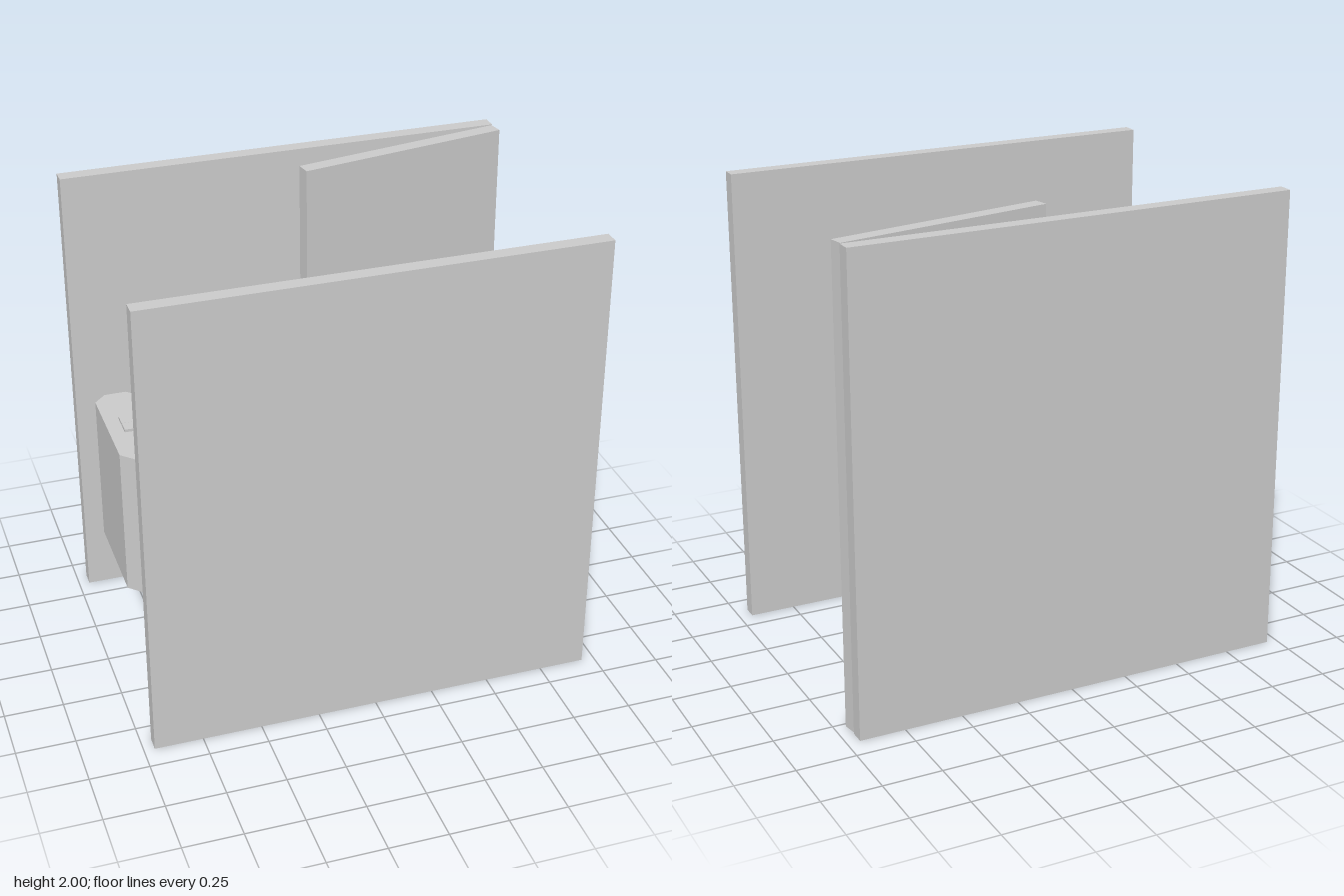
import * as THREE from 'three';
import { toCreasedNormals } from 'three/addons/utils/BufferGeometryUtils.js';

// Half of the egg-shaped outline (x, z), mirrored into a closed 12-point ring.
const HALF = [[1, 0], [0.87, 0.56], [0.5, 0.87], [0, 1], [-0.5, 0.87], [-0.8, 0.58], [-0.8, 0]];
const EGG = [...HALF, ...HALF.slice(1, -1).reverse().map(([x, z]) => [x, -z])];

// Skin through egg-shaped rings [y, radiusX, radiusZ], closed at the first ring.
function loftEgg(rings, centreX) {
  const n = EGG.length;
  const pos = [];
  const index = [];
  for (const [y, rx, rz] of rings) {
    for (const [x, z] of EGG) pos.push(centreX + x * rx, y, z * rz);
  }
  for (let i = 0; i < rings.length - 1; i++) {
    for (let j = 0; j < n; j++) {
      const k = (j + 1) % n;
      const a = i * n + j, b = i * n + k, c = a + n, d = b + n;
      index.push(a, c, b, b, c, d);
    }
  }
  for (let j = 1; j < n - 1; j++) index.push(0, j, j + 1);
  const geo = new THREE.BufferGeometry();
  geo.setAttribute('position', new THREE.Float32BufferAttribute(pos, 3));
  geo.setIndex(index);
  return toCreasedNormals(geo, 0.6);
}

function extrude(points, depth) {
  const shape = new THREE.Shape(points.map(([x, y]) => new THREE.Vector2(x, y)));
  return new THREE.ExtrudeGeometry(shape, { depth, bevelEnabled: false });
}

export function createModel() {
  const group = new THREE.Group();
  const material = new THREE.MeshStandardMaterial({ color: 0xcccccc });
  const add = (name, geo, x = 0, y = 0, z = 0) => {
    const mesh = new THREE.Mesh(geo, material);
    mesh.name = name;
    mesh.position.set(x, y, z);
    group.add(mesh);
    return mesh;
  };

  // Partition walls and the door standing ajar
  add('backWall', new THREE.BoxGeometry(1.9, 2, 0.063), -0.005, 1, -0.62);
  add('frontWall', new THREE.BoxGeometry(1.9, 2, 0.063), -0.005, 1, 0.618);
  add('door', new THREE.BoxGeometry(0.94, 2, 0.063), 0.483, 1, -0.467).rotation.y = 0.178;

  // Pedestal, waist, flared bowl, flat rim and hollow inside
  add('bowl', loftEgg([
    [0.01, 0.26, 0.215], [0.1, 0.2, 0.175], [0.17, 0.16, 0.127], [0.25, 0.215, 0.17],
    [0.5, 0.405, 0.315], [0.5, 0.415, 0.32], [0.515, 0.415, 0.32],
    [0.515, 0.28, 0.21], [0.46, 0.265, 0.2], [0.2, 0.15, 0.13],
  ], -0.42));

  // Raised lid: the egg outline stood upright, narrow end up
  const lid = extrude(EGG.map(([along, across]) => [across * 0.27, along > 0 ? along * 0.375 : along * 0.425]), 0.02);
  lid.rotateY(Math.PI / 2);
  add('lid', lid, -0.742, 0.87, 0);

  // Tank with chamfered corners and a flush button
  const tank = extrude([
    [-0.94, -0.22], [-0.89, -0.27], [-0.8, -0.27], [-0.745, -0.22],
    [-0.745, 0.22], [-0.8, 0.27], [-0.89, 0.27], [-0.94, 0.22],
  ], 0.64);
  tank.rotateX(-Math.PI / 2);
  add('tank', tank, 0, 0.51, 0);
  for (const side of [-1, 1]) {
    add('flushButton', new THREE.BoxGeometry(0.068, 0.02, 0.054), -0.845, 1.152, side * 0.0275);
  }

  // Paper roll between two wall brackets
  const roll = new THREE.CylinderGeometry(0.068, 0.068, 0.14, 10);
  roll.rotateZ(Math.PI / 2);
  add('paperRoll', toCreasedNormals(roll, 0.5), 0.055, 0.616, 0.453);
  for (const x of [-0.03, 0.14]) {
    add('rollBracket', new THREE.BoxGeometry(0.03, 0.042, 0.155), x, 0.62, 0.513);
  }

  return group;
}
